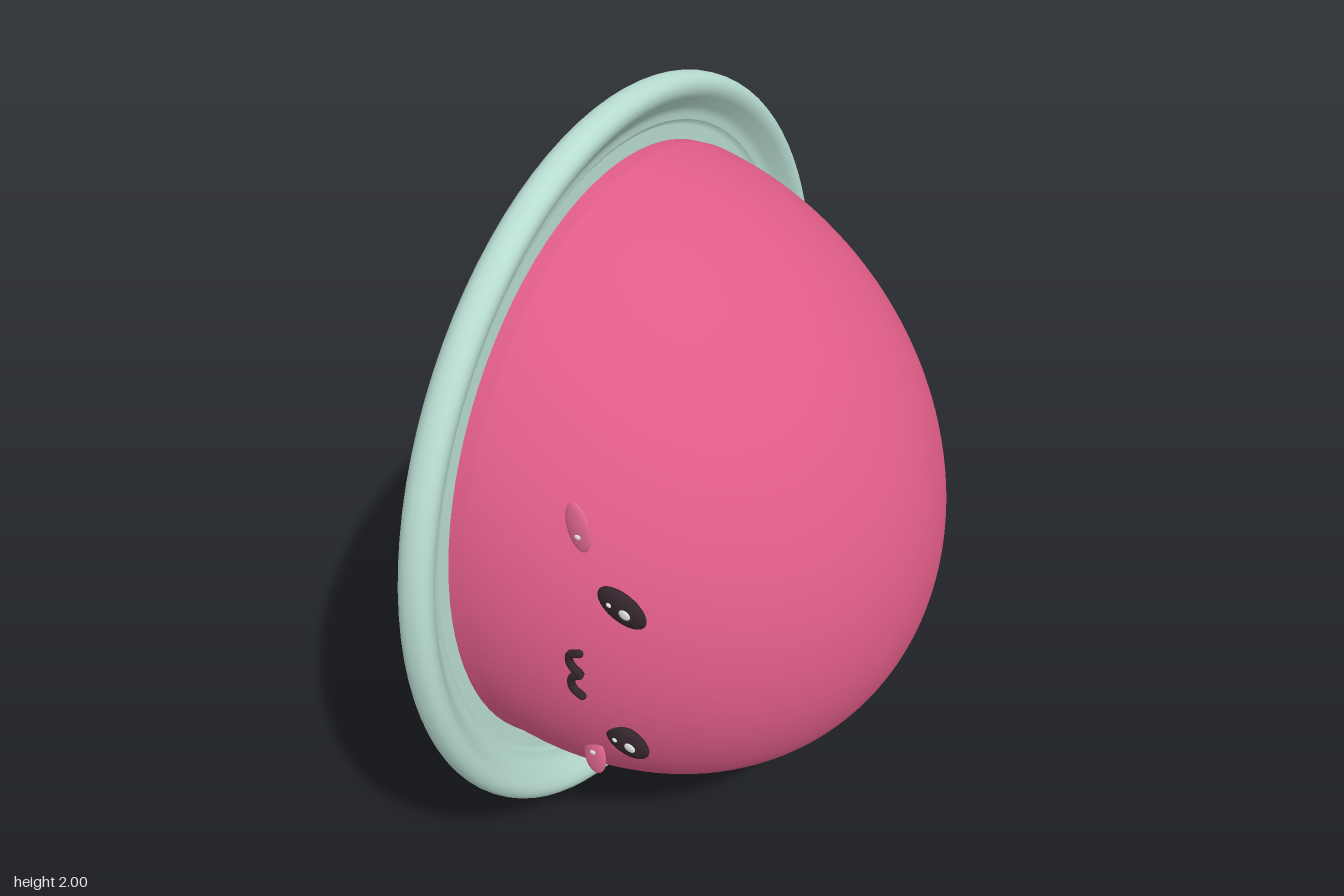
import * as THREE from 'three';

const mat = (name, color, extra = {}) => {
  const m = new THREE.MeshStandardMaterial({ color, ...extra });
  m.name = name;
  return m;
};

export function createModel() {
  const group = new THREE.Group();
  const pink = mat('berry pink', 0xe05d87);
  const mint = mat('mint', 0xb8dcd1);
  const black = mat('soft black', 0x33242c);
  const blush = mat('blush pink', 0xee6e98);
  const white = mat('highlight white', 0xf4faf8);

  const add = (name, geo, material, parent = group) => {
    const mesh = new THREE.Mesh(geo, material);
    mesh.name = name;
    parent.add(mesh);
    return mesh;
  };

  // Plate: lathe profile [radius, x] turned onto the x axis
  const rim = new THREE.SplineCurve([
    [0.87, -0.46], [0.92, -0.456], [0.965, -0.44], [0.99, -0.42], [1, -0.395], [0.995, -0.365],
    [0.975, -0.349], [0.95, -0.352], [0.925, -0.372], [0.9, -0.392], [0.875, -0.398],
  ].map(([r, x]) => new THREE.Vector2(r, x))).getPoints(40);
  const spin = (points) => new THREE.LatheGeometry(points, 96).rotateZ(-Math.PI / 2);
  const v = (r, x) => new THREE.Vector2(r, x);
  add('plateBack', spin([v(0, -0.46), v(0.87, -0.46)]), mint).position.y = 1;
  add('plateRim', spin(rim), mint).position.y = 1;
  add('plateFloor', spin([v(0.875, -0.398), v(0.86, -0.41), v(0, -0.41)]), mint).position.y = 1;

  // Body: hemisphere bulging toward +x, sheared so that it sags
  const baseX = -0.37, R = 0.822, sag = 0.235;
  const dome = new THREE.SphereGeometry(R, 96, 40, 0, Math.PI * 2, 0, Math.PI / 2).rotateZ(-Math.PI / 2);
  dome.applyMatrix4(new THREE.Matrix4().set(1, 0, 0, 0, -sag, 1, 0, 0, 0, 0, 1, 0, 0, 0, 0, 1));
  add('body', dome, pink).position.set(baseX, 1, 0);
  const skirt = new THREE.CylinderGeometry(R, R, 0.05, 96, 1, true).rotateZ(-Math.PI / 2);
  add('bodyBase', skirt, pink).position.set(baseX - 0.025, 1, 0);

  // Face details: flattened beads with small highlights
  const bead = (name, material, center, size, tilt, dots) => {
    const part = new THREE.Group();
    part.name = name;
    part.position.set(...center);
    part.rotation.z = tilt;
    add(name + 'Bead', new THREE.SphereGeometry(1, 32, 20), material, part).scale.set(...size);
    for (const [x, y, r] of dots) {
      const z = size[2] * Math.sqrt(1 - (x / size[0]) ** 2 - (y / size[1]) ** 2);
      const dot = add(name + 'Highlight', new THREE.SphereGeometry(1, 16, 10), white, part);
      dot.position.set(x, y, z);
      dot.scale.set(r * 1.2, r, 0.004);
    }
    group.add(part);
  };
  const eyeDots = [[0.016, 0.008, 0.013], [-0.026, 0.0, 0.006]];
  bead('leftEye', black, [0.003, 1.127, 0.72], [0.068, 0.042, 0.02], -0.5, eyeDots);
  bead('rightEye', black, [-0.008, 0.695, 0.72], [0.062, 0.042, 0.02], -0.35, eyeDots);
  bead('leftCheek', blush, [-0.105, 1.312, 0.71], [0.031, 0.068, 0.01], 0.13, [[0, -0.02, 0.007]]);
  bead('rightCheek', blush, [-0.114, 0.588, 0.71], [0.031, 0.063, 0.01], 0, [[0, 0.018, 0.007]]);

  // Mouth: two small bumps lying on their side
  const path = new THREE.CatmullRomCurve3([
    [-0.076, 1.01], [-0.1, 1.0], [-0.106, 0.98], [-0.098, 0.96], [-0.078, 0.944],
    [-0.1, 0.928], [-0.106, 0.908], [-0.1, 0.89], [-0.078, 0.876],
  ].map(([x, y]) => new THREE.Vector3(x, y, 0.79)));
  add('mouth', new THREE.TubeGeometry(path, 48, 0.01, 10), black);
  for (const t of [0, 1]) {
    add('mouthEnd', new THREE.SphereGeometry(0.01, 12, 8), black).position.copy(path.getPoint(t));
  }

  return group;
}
